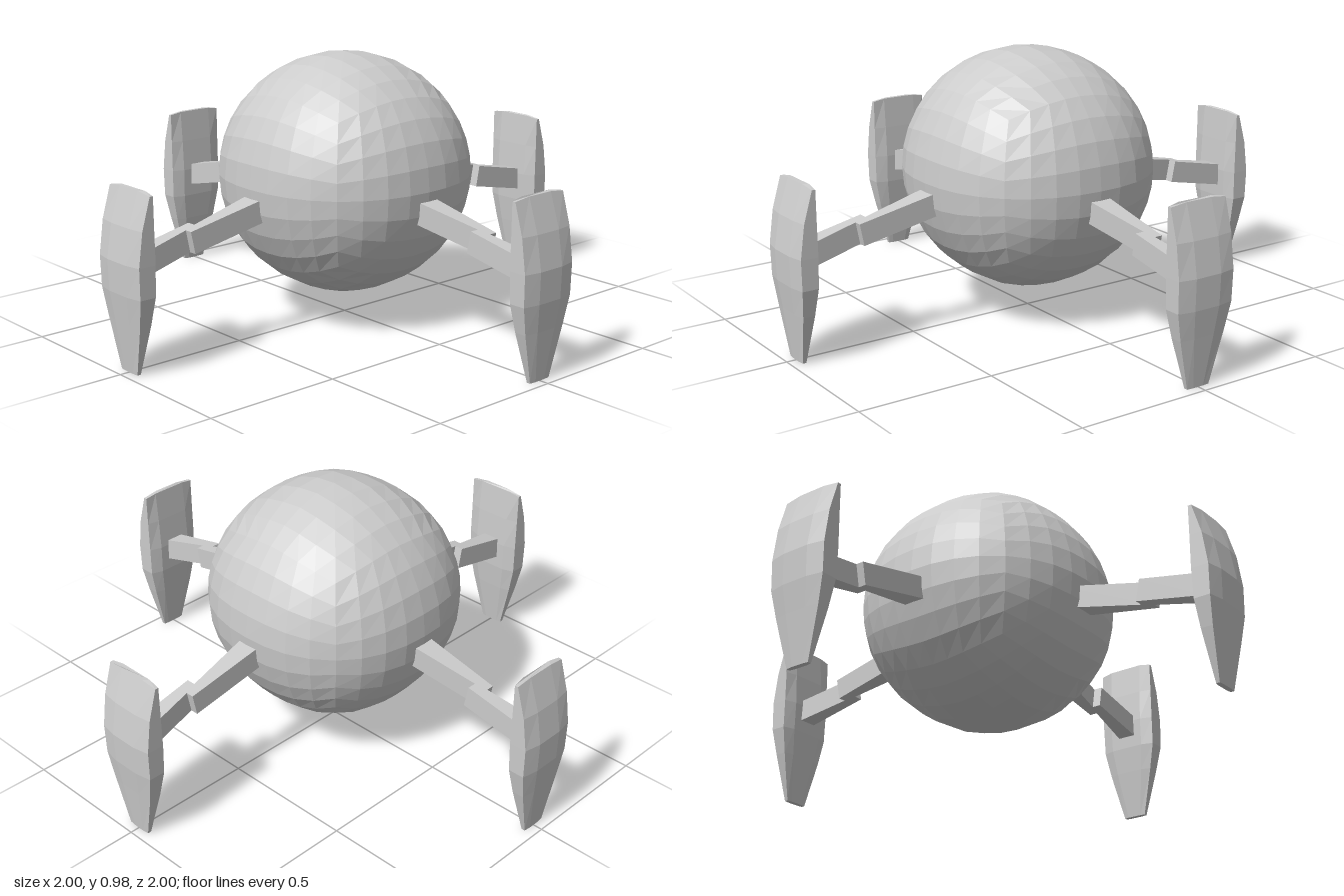
import * as THREE from 'three';
import { mergeVertices } from 'three/addons/utils/BufferGeometryUtils.js';

const material = new THREE.MeshStandardMaterial({ color: 0xcccccc, flatShading: true });

function part(name, geometry) {
  const mesh = new THREE.Mesh(geometry, material);
  mesh.name = name;
  return mesh;
}

// Closed skin through rings of [x, y, z] points, capped at both ends.
// Rings run counter-clockwise as seen from the last ring.
function loft(rings) {
  const n = rings[0].length;
  const index = [];
  for (let r = 0; r < rings.length - 1; r++) {
    for (let i = 0; i < n; i++) {
      const a = r * n + i, b = r * n + (i + 1) % n;
      index.push(a, b, b + n, a, b + n, a + n);
    }
  }
  const last = (rings.length - 1) * n;
  for (let i = 1; i < n - 1; i++) {
    index.push(0, i + 1, i, last, last + i, last + i + 1);
  }
  const g = new THREE.BufferGeometry();
  g.setAttribute('position', new THREE.Float32BufferAttribute(rings.flat(2), 3));
  g.setIndex(index);
  const flat = g.toNonIndexed();
  flat.computeVertexNormals();
  return flat;
}

// Cube grid puffed out to a ball, slightly squarish seen from above
function bodyGeometry(radius) {
  let g = new THREE.BoxGeometry(2, 2, 2, 8, 8, 8);
  g.deleteAttribute('uv');
  g.deleteAttribute('normal');
  g = mergeVertices(g);
  const pos = g.attributes.position;
  const v = new THREE.Vector3();
  const spread = t => Math.tan(t * Math.PI / 4);
  const power = 2.3;
  for (let i = 0; i < pos.count; i++) {
    v.fromBufferAttribute(pos, i);
    v.set(spread(v.x), spread(v.y), spread(v.z)).setLength(radius);
    const h = Math.hypot(v.x, v.z);
    if (h > 1e-6) {
      const k = h / Math.pow(Math.abs(v.x) ** power + Math.abs(v.z) ** power, 1 / power);
      v.x *= k;
      v.z *= k;
    }
    pos.setXYZ(i, v.x, v.y, v.z);
  }
  g = g.toNonIndexed();
  g.computeVertexNormals();
  return g;
}

// Tapered bar sloping down and outward along +x; each end is [x, zMin, zMax]
function barGeometry(ends) {
  return loft(ends.map(([x, z0, z1]) => {
    const y = 0.468 - 0.204 * (x - 0.42);
    const dx = 0.008; // ends lean square to the slope
    return [
      [x - dx, y - 0.04, z0], [x + dx, y + 0.04, z0],
      [x + dx, y + 0.04, z1], [x - dx, y - 0.04, z1],
    ];
  }));
}

// Curved shield foot; rows are [y, inner x, outer x, half width]
function footGeometry() {
  const rows = [
    [0, 0.946, 0.965, 0.046],
    [0.18, 0.922, 0.985, 0.092],
    [0.28, 0.911, 0.997, 0.113],
    [0.39, 0.908, 1.0, 0.115],
    [0.51, 0.914, 0.98, 0.115],
    [0.63, 0.923, 0.941, 0.115],
  ];
  return loft(rows.map(([y, xi, xo, w]) => {
    const t = xo - xi;
    const a = xi + 0.17 * t, b = xo - 0.13 * t;
    const yEdge = y > 0.6 ? y - 0.008 : y;
    return [
      [xi, y, -0.6 * w], [xi, y, 0.6 * w],
      [a, yEdge, w], [b, yEdge, w],
      [xo, y, 0.45 * w], [xo, y, -0.45 * w],
      [b, yEdge, -w], [a, yEdge, -w],
    ];
  }));
}

export function createModel() {
  const model = new THREE.Group();
  model.name = 'fourLeggedPod';

  const body = part('body', bodyGeometry(0.441));
  body.position.y = 0.54;
  model.add(body);

  // Four identical legs, a quarter turn apart
  const upper = barGeometry([[0.36, -0.045, 0.048], [0.715, -0.036, 0]]);
  const lower = barGeometry([[0.67, 0, 0.04], [0.925, -0.035, 0.036]]);
  const foot = footGeometry();
  ['left', 'back', 'right', 'front'].forEach((side, i) => {
    const leg = new THREE.Group();
    leg.name = side + 'Leg';
    leg.add(part('upperLeg', upper), part('lowerLeg', lower), part('foot', foot));
    leg.rotation.y = i * Math.PI / 2;
    model.add(leg);
  });

  return model;
}
